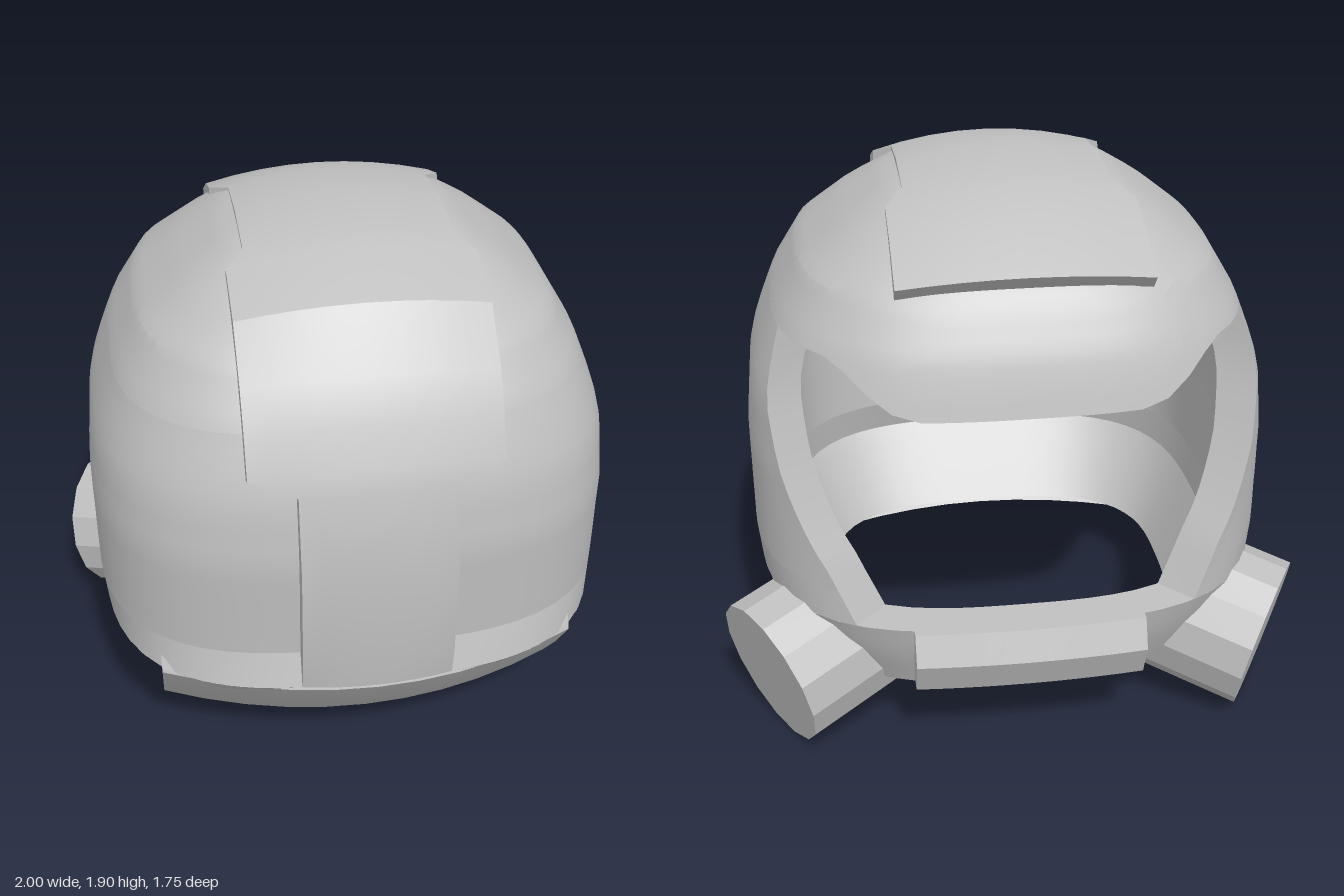
import * as THREE from 'three';
import { toCreasedNormals } from 'three/addons/utils/BufferGeometryUtils.js';

const grey = new THREE.MeshStandardMaterial({ color: 0xc0c0c0 });
grey.name = 'light grey';

const WALL = 0.13, POWER = 3;

// Shell sections: height, half width, depth to the front, depth to the back
const sections = [
  [0.25, 0.74, 0.62, 0.72], [0.4, 0.815, 0.735, 0.78], [0.52, 0.872, 0.835, 0.81],
  [0.64, 0.885, 0.797, 0.8], [1.0, 0.885, 0.815, 0.8], [1.2, 0.865, 0.79, 0.8],
  [1.27, 0.845, 0.77, 0.8], [1.35, 0.815, 0.74, 0.78], [1.45, 0.775, 0.7, 0.75],
  [1.6, 0.685, 0.61, 0.67], [1.72, 0.535, 0.485, 0.545], [1.79, 0.43, 0.37, 0.45],
  [1.845, 0.345, 0.27, 0.31], [1.88, 0, 0, 0],
];

// Linear lookup of a table row by its first column
function lookup(table, key) {
  let i = 0;
  while (i < table.length - 2 && key > table[i + 1][0]) i++;
  const a = table[i], b = table[i + 1];
  const t = THREE.MathUtils.clamp((key - a[0]) / (b[0] - a[0]), 0, 1);
  return a.map((v, k) => v + (b[k] - v) * t);
}

// Point on the rounded-square shell; angle 0 is the front, inset moves inward
function shellPoint(angle, y, inset) {
  const [, w, front, back] = lookup(sections, y);
  const s = Math.sin(angle), c = Math.cos(angle);
  const r = (Math.abs(s) ** POWER + Math.abs(c) ** POWER) ** (-1 / POWER);
  const depth = Math.max(0, (c > 0 ? front : back) - inset);
  const drop = inset * Math.max(0, (y - 1.27) / 0.6);
  return [Math.max(0, w - inset) * s * r, y - drop, depth * c * r];
}

// Closed solid between an outer and an inner grid surface
function solid(name, outer, inner, nu, nv) {
  const pos = [], index = [], row = nv + 1, layer = (nu + 1) * row;
  for (const f of [outer, inner])
    for (let i = 0; i <= nu; i++)
      for (let j = 0; j <= nv; j++) pos.push(...f(i, j));
  const o = (i, j) => i * row + j, n = (i, j) => layer + i * row + j;
  const quad = (a, b, c, d) => index.push(a, b, c, a, c, d);
  for (let i = 0; i < nu; i++) {
    for (let j = 0; j < nv; j++) {
      quad(o(i, j), o(i + 1, j), o(i + 1, j + 1), o(i, j + 1));
      quad(n(i, j), n(i, j + 1), n(i + 1, j + 1), n(i + 1, j));
    }
    quad(o(i + 1, 0), o(i, 0), n(i, 0), n(i + 1, 0));
    quad(o(i, nv), o(i + 1, nv), n(i + 1, nv), n(i, nv));
  }
  for (let j = 0; j < nv; j++) {
    quad(o(0, j), o(0, j + 1), n(0, j + 1), n(0, j));
    quad(o(nu, j + 1), o(nu, j), n(nu, j), n(nu, j + 1));
  }
  const g = new THREE.BufferGeometry();
  g.setAttribute('position', new THREE.Float32BufferAttribute(pos, 3));
  g.setIndex(index);
  const mesh = new THREE.Mesh(toCreasedNormals(g, 0.35), grey);
  mesh.name = name;
  return mesh;
}

// Piece of shell spanning angles -reach..reach and heights low(angle)..high
function shellPart(name, reach, low, high, nu, nv) {
  const at = inset => (i, j) => {
    const u = (2 * i) / nu - 1;
    const bottom = low(u * Math.PI);
    const y = bottom + ((high - bottom) * j) / nv;
    return shellPoint(u * reach(y, inset), y, inset);
  };
  return solid(name, at(0), at(WALL), nu, nv);
}

// Strip following rows of [y, z, half width, sideways drop], thick towards the centre
function strip(name, rows, nx, shrink) {
  const at = k => (i, j) => {
    const [y, z, w, drop] = rows[j];
    const t = (2 * i) / nx - 1;
    const dy = y - 0.9, len = Math.hypot(dy, z);
    const r = (len - drop * t * t) * k / len;
    return [w * t, 0.9 + dy * r, z * r];
  };
  return solid(name, at(1), at(shrink), nx, rows.length - 1);
}

// Bowed slab following rows of [y, z, thickness]; side is 1 in front, -1 at the rear
function slab(name, rows, halfWidth, bow, side) {
  const nx = 10;
  const at = depth => (i, j) => {
    const [y, z, thick] = rows[j];
    const x = halfWidth * ((2 * i) / nx - 1);
    return [side * x, y, side * (z - bow * x * x - depth * thick)];
  };
  return solid(name, at(0), at(1), nx, rows.length - 1);
}

export function createModel() {
  const model = new THREE.Group();
  model.name = 'helmet';
  const full = () => Math.PI;

  // Lower ring all the way round
  model.add(shellPart('lowerRing', full, () => 0.25, 0.52, 64, 5));

  // Wall ending at the slanted, bevelled edges of the face opening
  const edge = [[0.52, 0.73], [0.7, 0.68], [1.0, 0.55], [1.2, 0.46], [1.43, 0.35]];
  const wallReach = (y, inset) => {
    const t = (lookup(edge, y)[1] - 0.85 * inset) / (lookup(sections, y)[3] - inset);
    return Math.atan2((1 - t ** POWER) ** (1 / POWER), -t);
  };
  // A separate sloping ledge keeps the wall's lower edge crisp
  model.add(shellPart('ledge', wallReach, () => 0.52, 0.64, 56, 1));
  model.add(shellPart('wall', wallReach, () => 0.64, 1.43, 56, 13));

  // Dome whose rim dips into a brim over the face opening
  const brim = a => {
    const fromBack = Math.PI - Math.abs(a);
    return 1.43 - 0.16 * (1 - THREE.MathUtils.smoothstep(fromBack, 0.4, 0.8));
  };
  model.add(shellPart('dome', full, brim, 1.88, 64, 16));

  // Raised strip over the crown, narrow in its lower half
  model.add(strip('crownStrip', [
    [0.52, 0.855, 0.25, 0.02], [0.64, 0.865, 0.25, 0.01], [1.0, 0.875, 0.25, 0.01],
    [1.28, 0.83, 0.25, 0.015], [1.34, 0.805, 0.4, 0.03], [1.48, 0.75, 0.4, 0.035],
    [1.6, 0.68, 0.4, 0.04], [1.77, 0.53, 0.4, 0.055], [1.855, 0.32, 0.4, 0.06],
    [1.872, 0.24, 0.34, 0.04], [1.9, 0, 0.34, 0.045], [1.872, -0.24, 0.34, 0.04],
    [1.855, -0.34, 0.4, 0.06], [1.79, -0.5, 0.4, 0.05], [1.68, -0.68, 0.4, 0.04],
  ], 8, 0.9));

  // Sloping front guard, its top running back up to the shell
  model.add(slab('frontGuard', [
    [0.21, 0.62, 0.08], [0.35, 0.737, 0.1], [0.51, 0.855, 0.1], [0.525, 0.85, 0.1],
    [0.64, 0.78, 0.04],
  ], 0.7, 0.37, 1));

  // Rear plate below the face opening
  model.add(slab('rearPlate', [
    [0.3, 0.82, 0.08], [0.42, 0.87, 0.1], [0.52, 0.83, 0.08],
  ], 0.38, 0.12, -1));

  // Angled canisters at the rear corners
  for (const side of [1, -1]) {
    const axis = new THREE.Vector3(0.84 * side, -0.22, -0.5).normalize();
    const g = new THREE.CylinderGeometry(0.265, 0.265, 0.35, 14);
    const can = new THREE.Mesh(toCreasedNormals(g, 0.3), grey);
    can.name = side > 0 ? 'leftCanister' : 'rightCanister';
    can.quaternion.setFromUnitVectors(new THREE.Vector3(0, 1, 0), axis);
    can.position.set(0.86 * side, 0.26, -0.59).addScaledVector(axis, -0.175);
    model.add(can);
  }
  return model;
}
